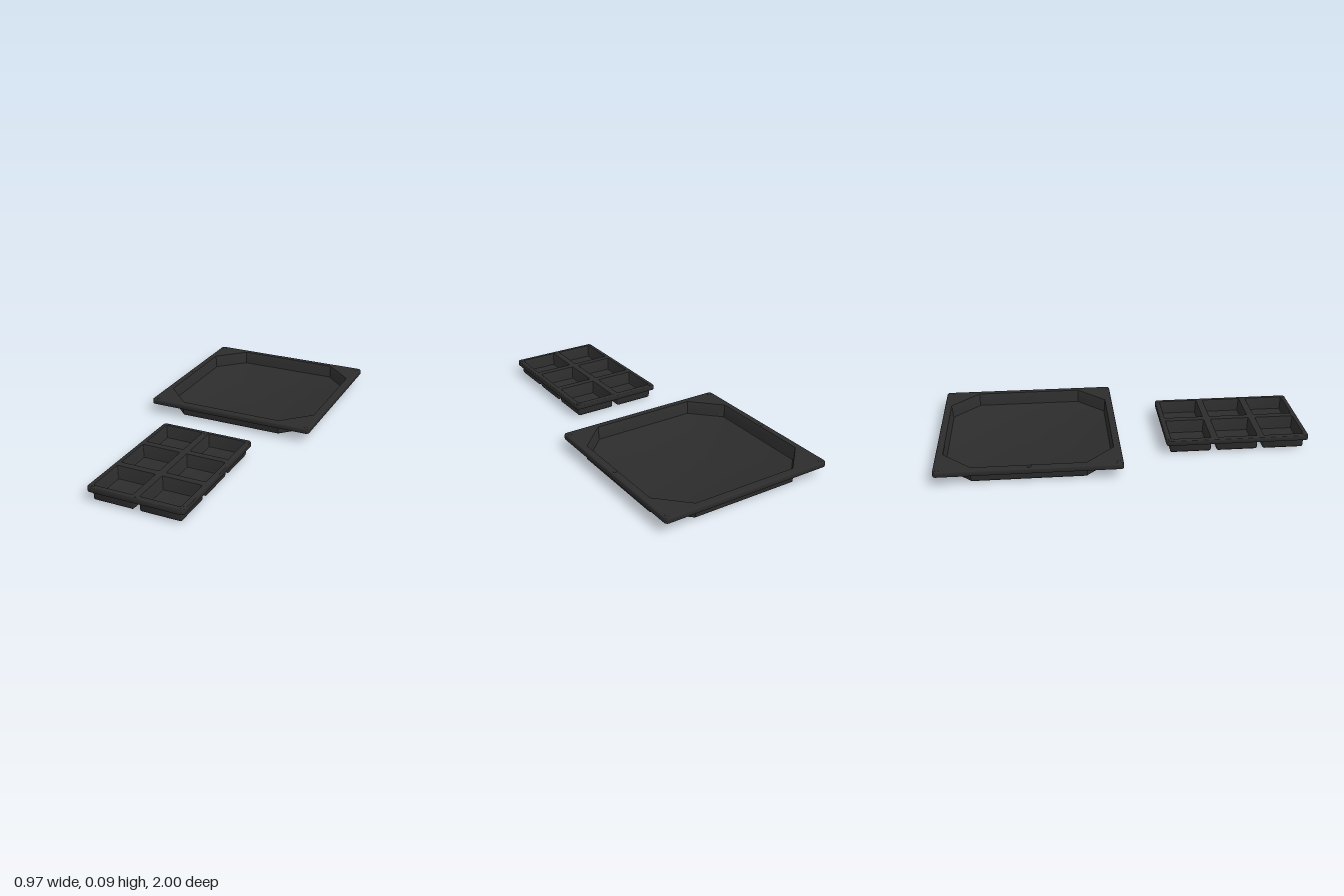
import * as THREE from 'three';
import { toCreasedNormals } from 'three/addons/utils/BufferGeometryUtils.js';

const RIM_TOP = 0.084, RIM_LOW = 0.055;
const plastic = new THREE.MeshStandardMaterial({ color: 0x2c2c2c });
plastic.name = 'black plastic';

// Rectangle outline with cut corners: n = 1 gives chamfers, larger n gives round corners
function outline(hx, hz, cut, n, inset = 0) {
  const a = hx - inset, b = hz - inset;
  if (a <= 0) return Array.from({ length: 4 * (n + 1) }, () => new THREE.Vector2());
  const r = Math.max(cut - inset * (n === 1 ? 0.586 : 1), 0.003);
  const points = [];
  [[1, 1], [-1, 1], [-1, -1], [1, -1]].forEach(([sx, sz], q) => {
    for (let i = 0; i <= n; i++) {
      const t = (q + i / n) * Math.PI / 2;
      points.push(new THREE.Vector2(sx * (a - r) + r * Math.cos(t), sz * (b - r) + r * Math.sin(t)));
    }
  });
  return points;
}

// Skin through outlines, following a profile of [inset, height] pairs
function loft(hx, hz, cut, n, profile) {
  const rings = profile.map(([inset, y]) =>
    outline(hx, hz, cut, n, inset).map(p => new THREE.Vector3(p.x, y, p.y)));
  const pos = [];
  const tri = (a, b, c) => {
    if (a.equals(b) || b.equals(c) || c.equals(a)) return;
    for (const v of [a, b, c]) pos.push(v.x, v.y, v.z);
  };
  for (let k = 0; k < rings.length - 1; k++) {
    const A = rings[k], B = rings[k + 1];
    for (let i = 0; i < A.length; i++) {
      const j = (i + 1) % A.length;
      tri(A[i], B[i], A[j]);
      tri(A[j], B[i], B[j]);
    }
  }
  const g = new THREE.BufferGeometry();
  g.setAttribute('position', new THREE.Float32BufferAttribute(pos, 3));
  return toCreasedNormals(g, 0.65);
}

function add(group, name, geometry, x = 0, y = 0, z = 0) {
  const mesh = new THREE.Mesh(geometry, plastic);
  mesh.name = name;
  mesh.position.set(x, y, z);
  group.add(mesh);
  return mesh;
}

// Tray = turned-down rim + top plate with openings + one basin per opening
function makeTray({ name, hx, hz, centres, half, cut, n, wall }) {
  const tray = new THREE.Group();
  tray.name = name;

  add(tray, 'rim', loft(hx, hz, 0.018, 5, [
    [0.012, RIM_LOW], [0.001, RIM_LOW], [0, RIM_LOW + 0.002], [0, RIM_TOP - 0.006],
    [0.002, RIM_TOP - 0.002], [0.006, RIM_TOP], [0.012, RIM_TOP], [0.012, RIM_LOW],
  ]));

  const plate = new THREE.Shape(outline(hx, hz, 0.018, 5, 0.0115));
  for (const [x, z] of centres) {
    const hole = outline(half, half, cut, n, 0.001).map(p => new THREE.Vector2(p.x + x, p.y + z));
    plate.holes.push(new THREE.Path(hole.reverse()));
  }
  const plateGeometry = new THREE.ExtrudeGeometry(plate, { depth: 0.01, bevelEnabled: false });
  plateGeometry.rotateX(Math.PI / 2);
  add(tray, 'topPlate', plateGeometry, 0, RIM_TOP, 0);

  // Closed basin shell: underside, outer wall, lip, inner wall, floor
  const basin = loft(half, half, cut, n, [
    [half, 0], [0.016, 0], [0.009, 0.002], [0.003, 0.007], [0.001, 0.015], [0, RIM_TOP - 0.001],
    [0.001, RIM_TOP], [wall - 0.002, RIM_TOP], [wall, RIM_TOP - 0.003],
    [wall + 0.003, 0.02], [wall + 0.006, 0.013], [wall + 0.013, 0.01], [half, 0.01],
  ]);
  for (const [x, z] of centres) add(tray, 'basin', basin, x, 0, z);
  return tray;
}

// Low moulding bumps on the rim
function addBumps(tray, spots) {
  const bump = new THREE.SphereGeometry(0.013, 14, 6, 0, Math.PI * 2, 0, Math.PI / 2);
  bump.scale(1, 0.2, 1);
  for (const [x, z] of spots) add(tray, 'rimBump', bump, x, RIM_TOP, z);
}

export function createModel() {
  const model = new THREE.Group();
  model.name = 'trays';

  const large = makeTray({
    name: 'largeTray', hx: 0.485, hz: 0.485, centres: [[0, 0]],
    half: 0.452, cut: 0.155, n: 1, wall: 0.007,
  });
  addBumps(large, [-1, 1].flatMap(s => [[s * 0.46, -0.46], [s * 0.46, 0], [s * 0.46, 0.46]]));
  large.position.z = -0.515;
  model.add(large);

  const cells = [];
  for (const x of [-0.128, 0.128]) for (const z of [-0.255, 0, 0.255]) cells.push([x, z]);
  const small = makeTray({
    name: 'sixCellTray', hx: 0.262, hz: 0.389, centres: cells,
    half: 0.113, cut: 0.01, n: 4, wall: 0.006,
  });
  addBumps(small, [-0.24, 0, 0.24].flatMap(x => [[x, -0.368], [x, 0.368]]));
  small.position.z = 0.611;
  model.add(small);

  return model;
}
